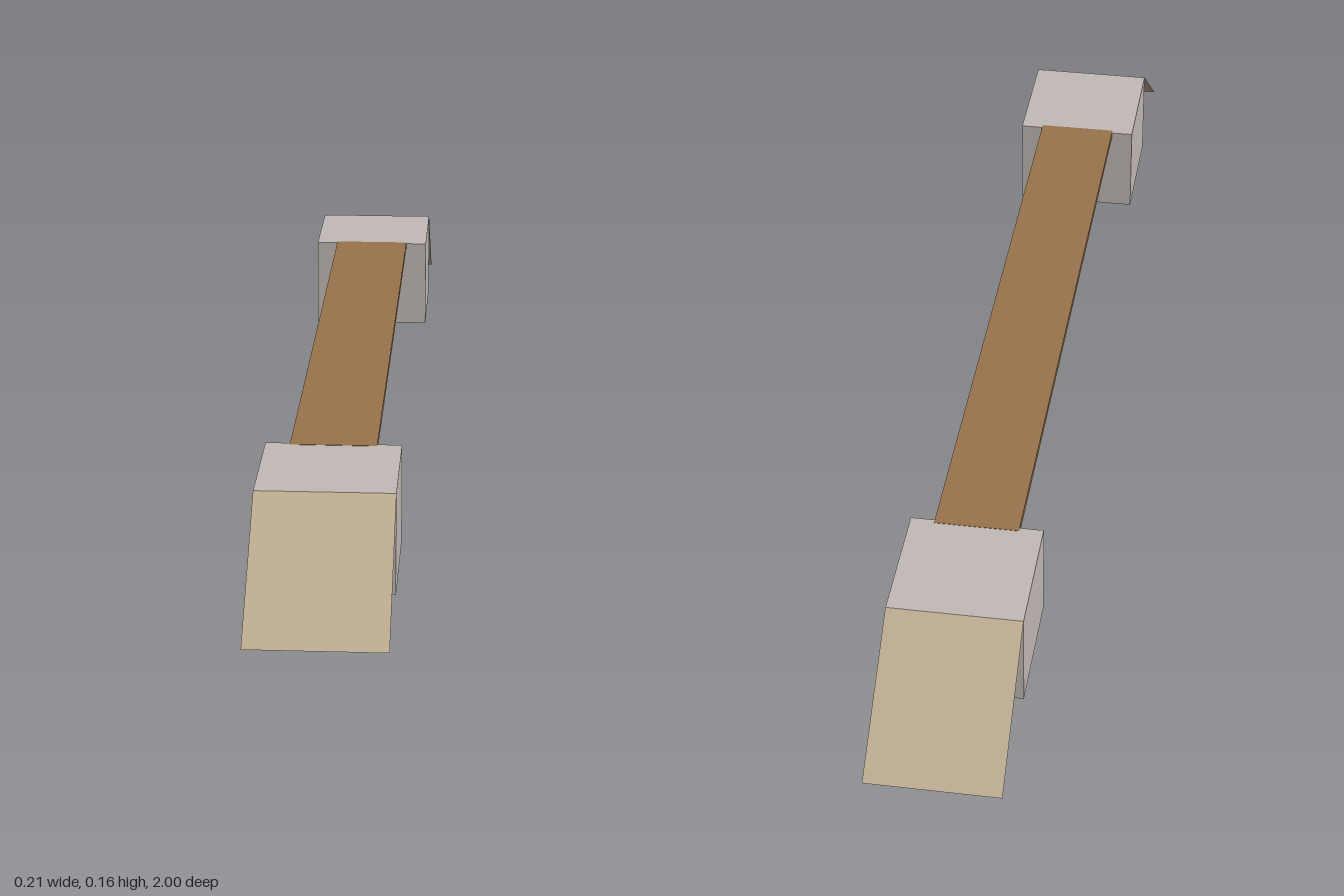
import * as THREE from 'three';

// Box shell standing on y = 0, without its bottom face
function openBox(width, height, depth) {
  const geometry = new THREE.BoxGeometry(width, height, depth).translate(0, height / 2, 0);
  const index = Array.from(geometry.index.array);
  index.splice(18, 6); // the bottom face
  geometry.setIndex(index);
  geometry.clearGroups();
  return geometry;
}

export function createModel() {
  const model = new THREE.Group();
  const material = (name, color) => {
    const m = new THREE.MeshStandardMaterial({ color, side: THREE.DoubleSide });
    m.name = name;
    return m;
  };
  const concrete = material('concrete grey', 0xc3bbb6);
  const wood = material('plank brown', 0x98744c);
  const sand = material('ramp tan', 0xbfae93);

  const width = 0.21, height = 0.16;
  const inner = 0.58, outer = 0.79, tip = 1;

  const add = (parent, name, geometry, mat) => {
    const mesh = new THREE.Mesh(geometry, mat);
    mesh.name = name;
    parent.add(mesh);
    return mesh;
  };

  // Thin plank spanning the two blocks, hollow underneath
  const plank = add(model, 'plank', openBox(0.134, 0.012, 1.175), wood);
  plank.position.y = height - 0.0115;

  // A block with a sloping ramp at each end
  const run = tip - outer;
  for (const [name, angle] of [['front', 0], ['back', Math.PI]]) {
    const end = new THREE.Group();
    end.name = name + 'End';
    end.rotation.y = angle;
    const block = add(end, name + 'Block', openBox(width, height, outer - inner), concrete);
    block.position.z = (inner + outer) / 2;

    const ramp = add(end, name + 'Ramp', new THREE.PlaneGeometry(width, Math.hypot(run, height)), sand);
    ramp.rotation.x = -Math.atan2(run, height);
    ramp.position.set(0, height / 2, (outer + tip) / 2);
    model.add(end);
  }
  return model;
}
